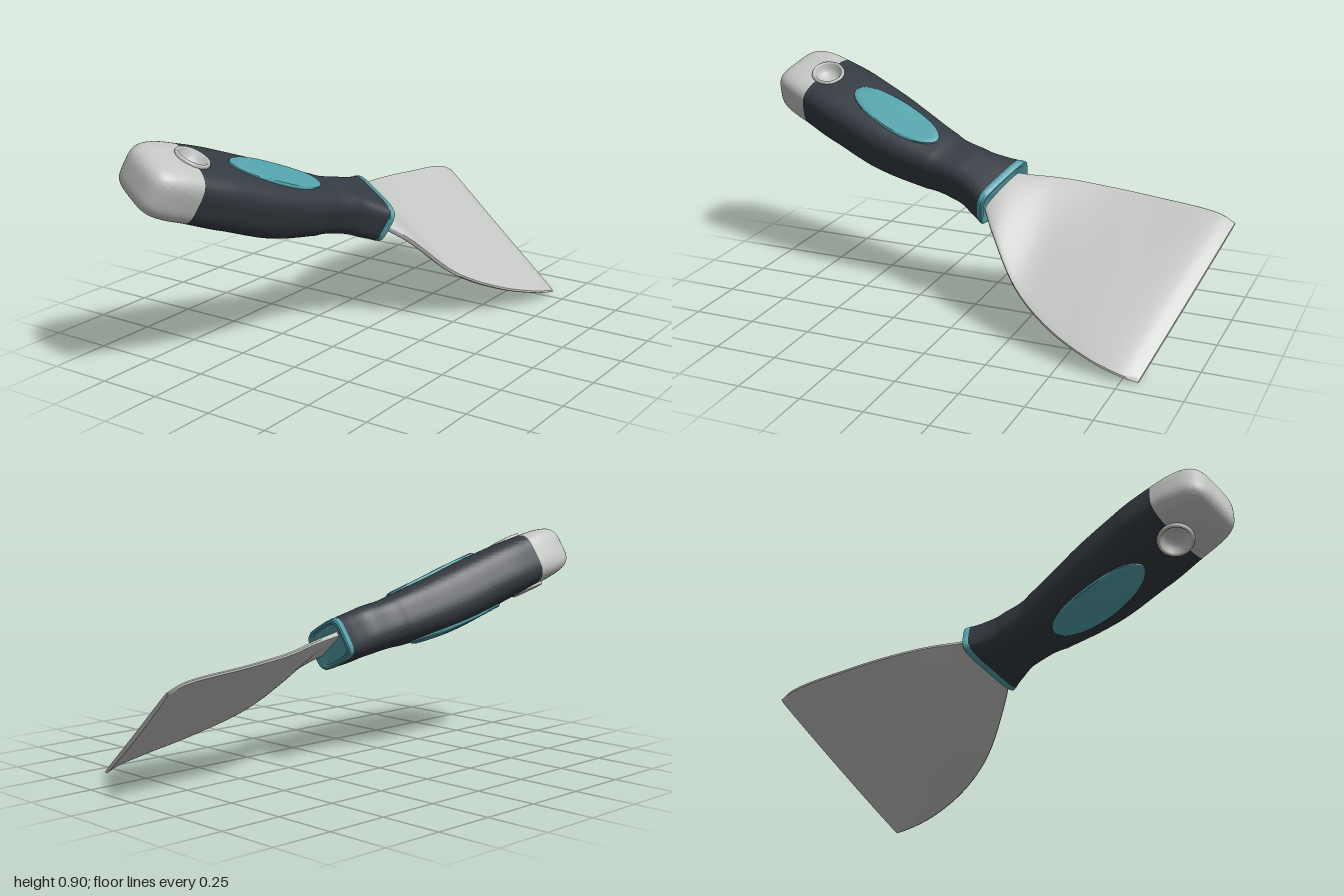
import * as THREE from 'three';
import { toCreasedNormals } from 'three/addons/utils/BufferGeometryUtils.js';

const V = (x, y, z) => new THREE.Vector3(x, y, z);
const material = (name, color) => Object.assign(new THREE.MeshStandardMaterial({ color }), { name });

// tool frame: U across the handle, N out of its upper face, A from blade to butt
const A = V(-0.218, 0.281, 0.934).normalize();
const N = V(0.433, 0.885, -0.165).normalize();
const U = N.clone().cross(A).normalize();

// handle stations: centre x, y, z, half width, half depth, squareness
const STATIONS = [
  [-0.065, 0.482, -0.1, 0.153, 0.083, 4.6],
  [-0.08, 0.5, -0.03, 0.128, 0.089, 4],
  [-0.1, 0.525, 0.055, 0.111, 0.093, 3.4],
  [-0.131, 0.557, 0.2, 0.121, 0.1, 3.2],
  [-0.18, 0.613, 0.4, 0.15, 0.115, 3.2],
  [-0.24, 0.7, 0.64, 0.163, 0.115, 3.3],
  [-0.28, 0.755, 0.8, 0.156, 0.108, 3.6],
  [-0.298, 0.779, 0.88, 0.148, 0.104, 3.8],
  [-0.318, 0.805, 0.98, 0.126, 0.088, 4],
];
const centres = new THREE.CatmullRomCurve3(STATIONS.map((s) => V(s[0], s[1], s[2])));
const sizes = new THREE.CatmullRomCurve3(STATIONS.map((s) => V(s[3], s[4], s[5])));

function section(z) {
  const last = STATIONS.length - 1;
  let i = 0;
  while (i < last - 1 && z > STATIONS[i + 1][2]) i++;
  const f = (z - STATIONS[i][2]) / (STATIONS[i + 1][2] - STATIONS[i][2]);
  const t = THREE.MathUtils.clamp((i + f) / last, 0, 1);
  const size = sizes.getPoint(t);
  return { centre: centres.getPoint(t), hu: size.x, hn: size.y, power: size.z };
}

const place = (origin, u, n) => origin.clone().addScaledVector(U, u).addScaledVector(N, n);

// skin over closed rings of points, outward when rings advance along A
function skin(rings, crease = 0.7) {
  const n = rings[0].length;
  const index = [];
  for (let i = 0; i < rings.length - 1; i++) {
    for (let j = 0; j < n; j++) {
      const k = (j + 1) % n;
      const a = i * n + j, b = i * n + k, c = a + n, d = b + n;
      index.push(a, b, d, a, d, c);
    }
  }
  const geo = new THREE.BufferGeometry().setFromPoints(rings.flat());
  geo.setIndex(index);
  return toCreasedNormals(geo, crease);
}

// ring around the handle, pressed in where the hanging hole sits
const HOLE = section(0.788);
function handleRing(z, scale = 1) {
  const { centre, hu, hn, power } = section(z);
  const along = centre.clone().sub(HOLE.centre).dot(A);
  return Array.from({ length: 96 }, (_, j) => {
    const t = (j / 96) * Math.PI * 2;
    const c = Math.cos(t), s = Math.sin(t);
    const r = scale / Math.pow(Math.abs(c) ** power + Math.abs(s) ** power, 1 / power);
    const u = hu * r * c;
    let n = hn * r * s;
    if (Math.hypot(u, along) < 0.058) n = THREE.MathUtils.clamp(n, -0.055, 0.055);
    return place(centre, u, n);
  });
}

const steps = (from, to, count) =>
  Array.from({ length: count + 1 }, (_, i) => from + ((to - from) * i) / count);

// oval pad that follows the upper (side 1) or lower (side -1) face
function padGeometry(side, z0) {
  const profile = [[1.02, -0.012], [1, 0.006], [0.95, 0.01], [0.85, 0.01], [0.6, 0.01], [0.3, 0.01], [0, 0.01]];
  const rings = profile.map(([r, lift]) => Array.from({ length: 48 }, (_, j) => {
    const t = (j / 48) * Math.PI * 2 * side;
    const { centre, hu, hn, power } = section(z0 + 0.205 * r * Math.sin(t));
    const u = 0.08 * r * Math.cos(t);
    const top = hn * Math.pow(1 - Math.pow(Math.abs(u) / hu, power), 1 / power);
    return place(centre, u, side * (top + lift));
  }));
  // the U, A plane winds against N, so reverse each ring
  return skin(rings.map((r) => r.reverse()));
}

// blade: left and right edge points from tip to tang, half thickness, bow
const BLADE = [
  [[-0.218, 0.43, -0.995], [0.425, 0.01, -0.812], 0.009, -0.004],
  [[-0.23, 0.457, -0.93], [0.438, 0.028, -0.75], 0.013, 0],
  [[-0.245, 0.487, -0.65], [0.422, 0.058, -0.63], 0.013, 0.004],
  [[-0.235, 0.508, -0.45], [0.35, 0.12, -0.44], 0.014, -0.002],
  [[-0.2, 0.528, -0.3], [0.245, 0.212, -0.268], 0.015, -0.01],
  [[-0.155, 0.538, -0.15], [0.115, 0.37, -0.12], 0.018, 0.004],
  [[-0.14, 0.545, -0.07], [0.0, 0.455, -0.03], 0.022, 0.004],
];
function bladeGeometry() {
  const left = new THREE.CatmullRomCurve3(BLADE.map((b) => V(...b[0])));
  const right = new THREE.CatmullRomCurve3(BLADE.map((b) => V(...b[1])));
  const form = new THREE.CatmullRomCurve3(BLADE.map((b, i) => V(b[2], b[3], i * 0.1)));
  const normal = V(0.569, 0.81, -0.111).normalize();
  const ring = (t, k = 1) => {
    const l = left.getPoint(t), r = right.getPoint(t), f = form.getPoint(t);
    return Array.from({ length: 40 }, (_, j) => {
      const q = (j / 40) * Math.PI * 2;
      const x = Math.cos(q), s = Math.sin(q);
      const n = f.x * k * Math.sign(s) * Math.pow(Math.abs(s), 0.4) + f.y * (1 - x * x);
      return l.clone().lerp(r, (x + 1) / 2).addScaledVector(normal, n);
    });
  };
  return skin([ring(0, 0), ...steps(0, 1, 36).map((t) => ring(t))]);
}

export function createModel() {
  const model = new THREE.Group();
  model.name = 'puttyKnife';
  const metal = material('light grey metal', 0xc3c5c2);
  const rubber = material('charcoal grip', 0x343a41);
  const teal = material('teal accent', 0x52a1aa);
  metal.side = THREE.DoubleSide;
  const add = (name, geo, mat) => {
    const mesh = new THREE.Mesh(geo, mat);
    mesh.name = name;
    model.add(mesh);
    return mesh;
  };

  add('blade', bladeGeometry(), metal);
  add('grip', skin(steps(-0.078, 0.8, 88).map((z) => handleRing(z))), rubber);

  // collar with a shallow recessed face around the tang
  const collar = [[-0.092, 0], [-0.092, 0.8], [-0.1, 0.87], [-0.1, 0.96], [-0.095, 1.005], [-0.076, 1.012], [-0.072, 0.98]];
  add('collar', skin(collar.map(([z, k]) => handleRing(z, k))), teal);

  // butt cap with a rounded end
  const capRings = steps(0.8, 0.88, 8).map((z) => handleRing(z));
  for (const q of steps(0.06, 1, 16)) {
    const a = (q * Math.PI) / 2;
    const k = q === 1 ? 0 : Math.pow(Math.cos(a), 0.5);
    capRings.push(handleRing(0.88 + 0.1 * Math.pow(Math.sin(a), 0.5), k));
  }
  add('buttCap', skin(capRings, 1.2), metal);

  // oval pads and dished hole rims on both faces
  const rim = [[0, -0.036], [0.02, -0.034], [0.036, -0.027], [0.048, -0.014], [0.055, 0.004], [0.06, 0.01], [0.066, 0.009], [0.069, 0.002], [0.07, -0.025]];
  const rimGeometry = new THREE.LatheGeometry(rim.map(([x, y]) => new THREE.Vector2(x, y)).reverse(), 40);
  for (const side of [1, -1]) {
    const label = side > 0 ? 'upper' : 'lower';
    add(label + 'Pad', padGeometry(side, side > 0 ? 0.43 : 0.44), teal);
    const ring = add(label + 'HangingHole', rimGeometry, metal);
    ring.position.copy(place(HOLE.centre, 0, side * HOLE.hn));
    ring.quaternion.setFromUnitVectors(V(0, 1, 0), N.clone().multiplyScalar(side));
  }
  return model;
}
